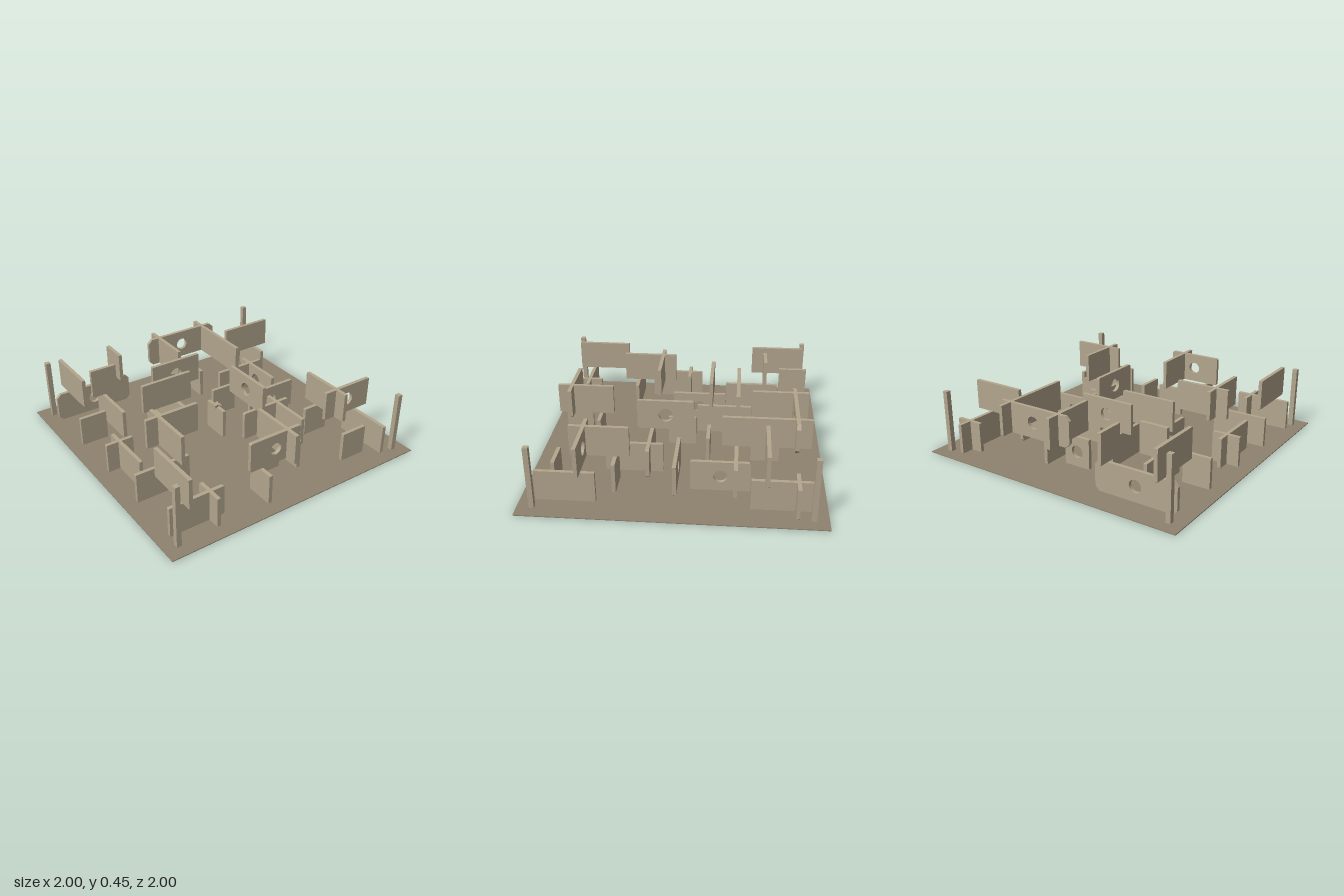
import * as THREE from 'three';

const T = 0.026; // wall thickness
const H = 0.215; // wall height
const LEVEL = { low: 0.006, high: 0.235 };

// Upright panel of given length, with optional round window and cut corners.
function panelGeometry(length, hole, cut) {
  const h = length / 2;
  const c = cut || 0.002;
  const s = new THREE.Shape();
  s.moveTo(-h + c, 0);
  s.lineTo(h - c, 0);
  s.lineTo(h, c);
  s.lineTo(h, H - c);
  s.lineTo(h - c, H);
  s.lineTo(-h + c, H);
  s.lineTo(-h, H - c);
  s.lineTo(-h, c);
  s.closePath();
  if (hole) {
    const p = new THREE.Path();
    p.absarc(0, H / 2, hole, 0, Math.PI * 2, true);
    s.holes.push(p);
  }
  const g = new THREE.ExtrudeGeometry(s, { depth: T, bevelEnabled: false, curveSegments: 24 });
  g.translate(0, 0, -T / 2);
  return g;
}

// Walls running along x: [z, x start, x end, level, window radius, corner cut]
const ALONG_X = [
  [-0.8, -0.9, -0.3, 'low', 0.045, 0.03],
  [-0.8, -0.1, 0.5, 'high', 0.045, 0.03],
  [-0.8, 0.7, 0.9, 'low'],
  [-0.6, -0.7, -0.5, 'high'],
  [-0.6, -0.1, 0.1, 'low', 0.045],
  [-0.6, 0.5, 0.9, 'high'],
  [-0.4, -0.9, -0.7, 'low'],
  [-0.4, -0.3, 0.1, 'high', 0.045],
  [-0.4, 0.3, 0.7, 'low'],
  [-0.2, -0.5, -0.1, 'high'],
  [-0.2, 0.1, 0.3, 'low'],
  [0, -0.9, -0.7, 'low'],
  [0, 0.3, 0.7, 'low', 0.045],
  [0.2, -0.7, -0.3, 'high'],
  [0.2, 0.1, 0.5, 'low', 0.045, 0.008],
  [0.4, -0.9, -0.5, 'low'],
  [0.4, 0.5, 0.7, 'low'],
  [0.6, -0.1, 0.1, 'low'],
  [0.6, 0.5, 0.9, 'high', 0.05],
  [0.8, -0.9, -0.5, 'low'],
  [0.8, -0.3, 0.1, 'high', 0.043, 0.008],
  [0.8, 0.5, 0.7, 'low'],
];

// Walls running along z: [x, z start, z end, level, window radius, corner cut]
const ALONG_Z = [
  [-0.8, -0.9, -0.5, 'high'],
  [-0.8, -0.1, 0.3, 'low'],
  [-0.8, 0.5, 0.9, 'high'],
  [-0.6, -0.7, -0.3, 'low'],
  [-0.6, 0.1, 0.5, 'high'],
  [-0.6, 0.7, 0.9, 'low'],
  [-0.4, -0.9, -0.7, 'high'],
  [-0.4, -0.3, 0.1, 'low', 0.045],
  [-0.2, -0.5, -0.1, 'low'],
  [-0.2, 0.7, 0.9, 'low'],
  [0, -0.9, -0.5, 'high'],
  [0, -0.1, 0.1, 'low'],
  [0, 0.5, 0.9, 'high'],
  [0.2, -0.7, -0.5, 'low'],
  [0.2, -0.1, 0.3, 'high', 0.05, 0.008],
  [0.2, 0.5, 0.7, 'low'],
  [0.4, -0.9, -0.3, 'high'],
  [0.4, 0.1, 0.5, 'low'],
  [0.6, -0.5, -0.1, 'low', 0.045, 0.008],
  [0.6, 0.3, 0.7, 'high'],
  [0.8, -0.9, -0.5, 'low'],
  [0.8, 0.5, 0.9, 'low'],
];

export function createModel() {
  const model = new THREE.Group();
  model.name = 'twoLevelMaze';
  const wallMat = new THREE.MeshStandardMaterial({ color: 0xb3a68e });
  wallMat.name = 'sandstone';
  const floorMat = new THREE.MeshStandardMaterial({ color: 0x8f826e });
  floorMat.name = 'floorBrown';

  const add = (geometry, material, name, x, y, z, parent = model) => {
    const m = new THREE.Mesh(geometry, material);
    m.name = name;
    m.position.set(x, y, z);
    parent.add(m);
    return m;
  };

  // Floor slab
  add(new THREE.BoxGeometry(2, 0.006, 2), floorMat, 'floor', 0, 0.003, 0);

  // Walls on both levels
  const lower = new THREE.Group();
  lower.name = 'lowerWalls';
  const upper = new THREE.Group();
  upper.name = 'upperWalls';
  model.add(lower, upper);
  const addWall = ([at, a, b, level, hole, cut], alongZ) => {
    const g = panelGeometry(b - a, hole, cut);
    const mid = (a + b) / 2;
    const parent = level === 'low' ? lower : upper;
    if (alongZ) g.rotateY(-Math.PI / 2);
    add(g, wallMat, level === 'low' ? 'lowerWall' : 'upperWall',
      alongZ ? at : mid, LEVEL[level], alongZ ? mid : at, parent);
  };
  ALONG_X.forEach((w) => addWall(w, false));
  ALONG_Z.forEach((w) => addWall(w, true));

  // Corner posts
  for (const x of [-0.9, 0.9]) {
    for (const z of [-0.9, 0.9]) {
      add(new THREE.BoxGeometry(0.035, 0.444, 0.035), wallMat, 'cornerPost', x, 0.228, z);
    }
  }

  // Four-pointed marker on top of the middle wall
  const star = new THREE.Shape();
  for (let i = 0; i < 8; i++) {
    const r = i % 2 ? 0.018 : 0.04;
    const a = Math.PI / 4 + (i * Math.PI) / 4;
    star[i ? 'lineTo' : 'moveTo'](r * Math.cos(a), r * Math.sin(a));
  }
  star.closePath();
  const starGeo = new THREE.ExtrudeGeometry(star, { depth: 0.018, bevelEnabled: false });
  starGeo.rotateX(-Math.PI / 2);
  add(starGeo, wallMat, 'centreMarker', 0, 0.22, 0);

  return model;
}
